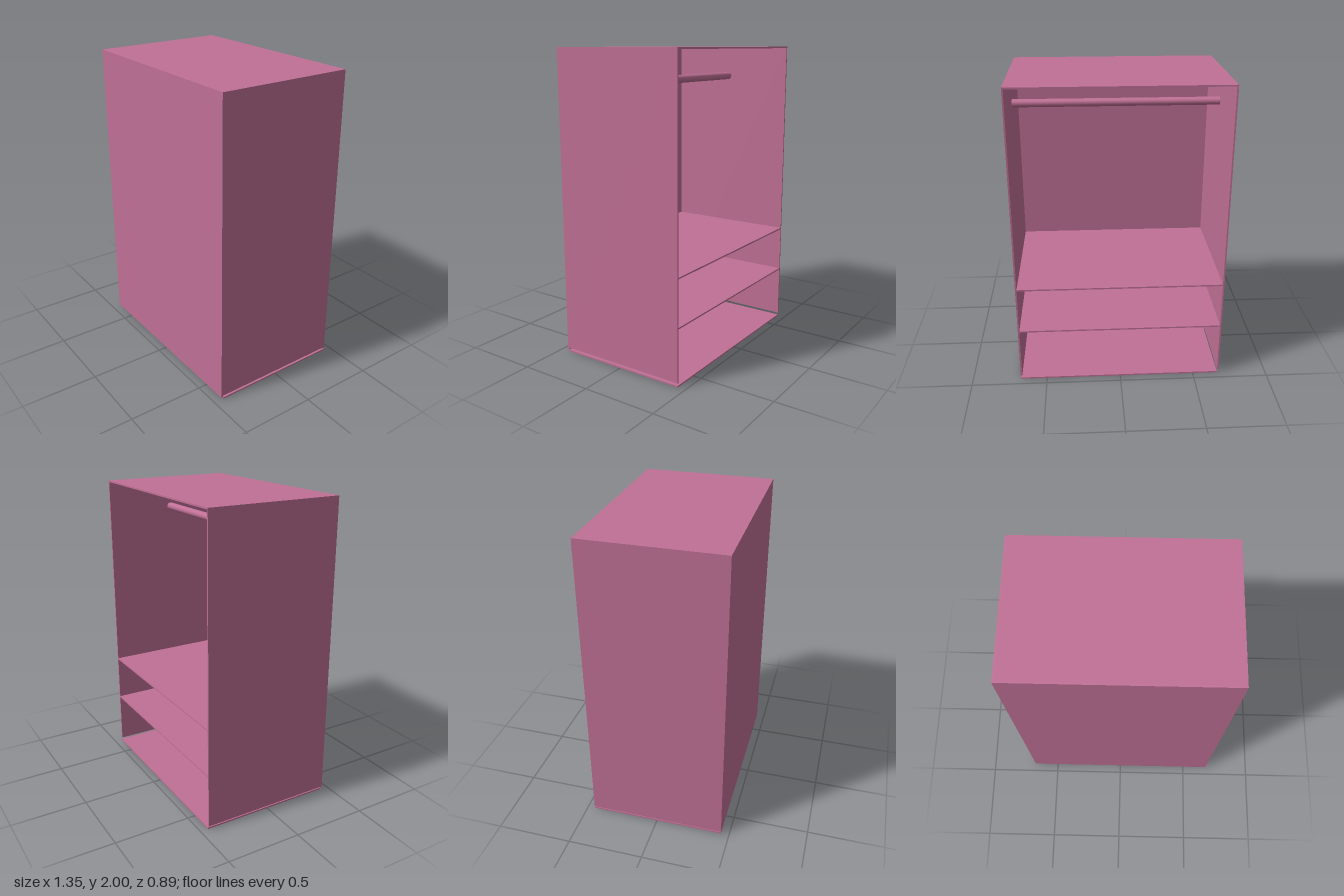
import * as THREE from 'three';

// Open-backed wardrobe made of thin panels, two shelves and a hanging rail
export function createModel() {
  const model = new THREE.Group();
  model.name = 'wardrobe';
  const pink = new THREE.MeshStandardMaterial({ color: 0xc07095 });
  pink.name = 'dusty pink';

  // Panel given by its min and max corners
  function panel(name, [x0, y0, z0], [x1, y1, z1]) {
    const mesh = new THREE.Mesh(new THREE.BoxGeometry(x1 - x0, y1 - y0, z1 - z0), pink);
    mesh.position.set((x0 + x1) / 2, (y0 + y1) / 2, (z0 + z1) / 2);
    mesh.name = name;
    model.add(mesh);
  }

  const W = 0.677, D = 0.447, T = 0.01;

  // Carcass: the sides stop just above the base, leaving a narrow slot
  panel('basePanel', [-W + T, 0, -D], [W, T, D - T]);
  panel('topPanel', [-W + T, 2 - T, -D], [W - T, 2, D - T]);
  panel('frontPanel', [-W, 0.013, D - T], [W, 2, D]);
  panel('rightSide', [-W, 0.025, -D], [-W + T, 2, D - T]);
  panel('leftSide', [W - T, 0.025, -D], [W, 2, D - T]);

  // Shelves
  for (const [name, top] of [['lowerShelf', 0.38], ['upperShelf', 0.692]]) {
    panel(name, [-W + T, top - T, -D], [W - T, top, D - T]);
  }

  // Hanging rail between the sides
  const rail = new THREE.Mesh(new THREE.CylinderGeometry(0.026, 0.026, 2 * (W - T), 32), pink);
  rail.rotation.z = Math.PI / 2;
  rail.position.set(0, 1.79, 0.02);
  rail.name = 'hangingRail';
  model.add(rail);

  return model;
}
